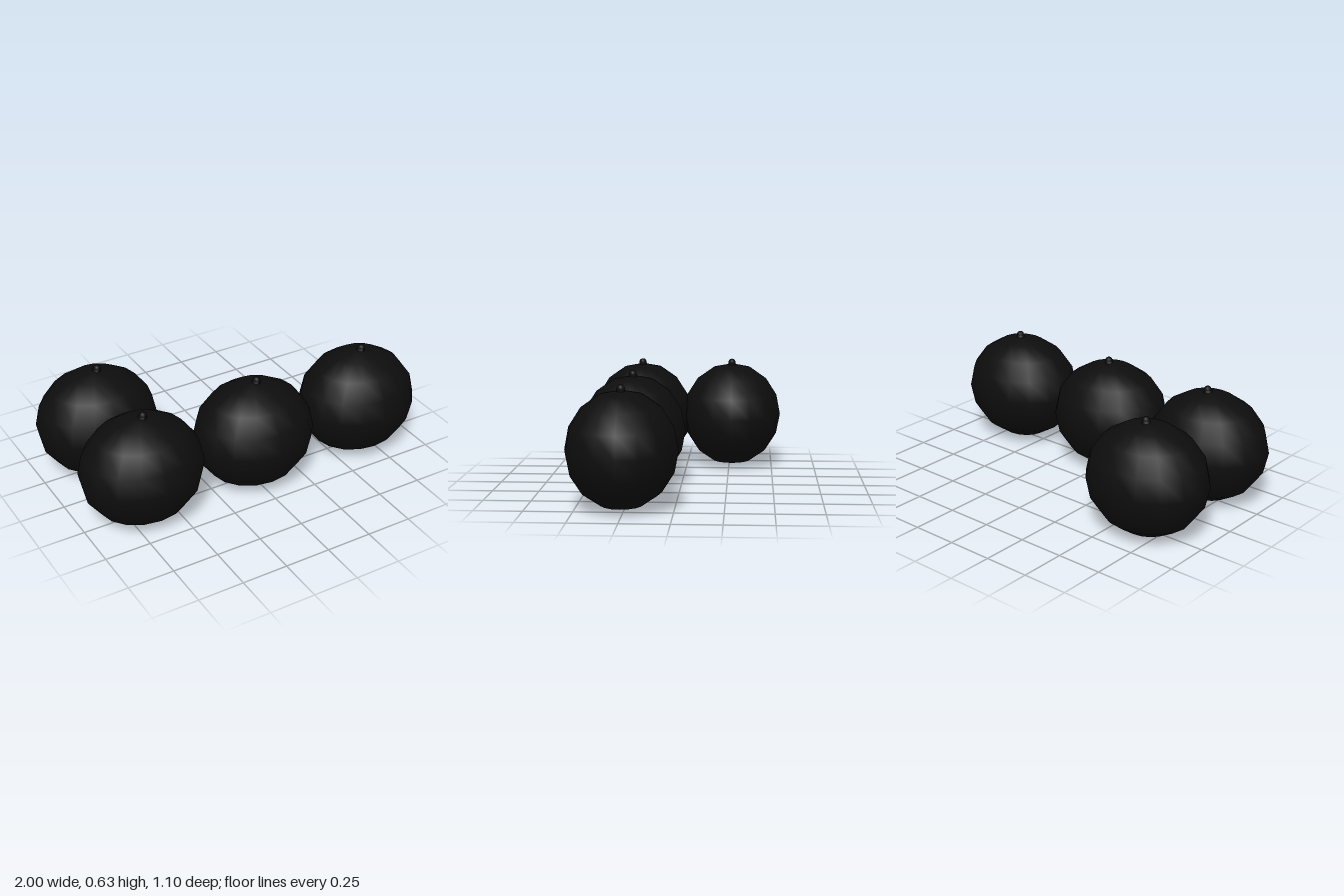
import * as THREE from 'three';

export function createModel() {
  const group = new THREE.Group();
  const black = new THREE.MeshStandardMaterial({ color: 0x0d0d0d });
  black.name = 'soft black';

  // Squashed low-poly ball standing on y = 0
  const bodyGeo = new THREE.SphereGeometry(1, 16, 8).scale(0.335, 0.3, 0.286);

  // Short tapered stem, sheared towards +x, with a round tip
  const stemGeo = new THREE.CylinderGeometry(0.02, 0.031, 0.04, 12, 1, true);
  stemGeo.applyMatrix4(new THREE.Matrix4().makeShear(0, 0, 0.3, 0, 0, 0));
  const pos = stemGeo.attributes.position;
  for (let i = 0; i < pos.count; i++) {
    const y = pos.getY(i);
    const angle = Math.atan2(pos.getX(i), pos.getZ(i));
    const r = y > 0 ? 0.02 : 0.031;
    pos.setX(i, r * Math.sin(angle) + (y > 0 ? 0.018 : 0.006));
    pos.setZ(i, r * Math.cos(angle));
  }
  stemGeo.computeVertexNormals();
  const tipGeo = new THREE.SphereGeometry(0.021, 12, 8);

  function addBerry(x, z) {
    const berry = new THREE.Group();
    berry.name = 'berry';
    const add = (geo, name, px, py) => {
      const mesh = new THREE.Mesh(geo, black);
      mesh.name = name;
      mesh.position.set(px, py, 0);
      berry.add(mesh);
    };
    add(bodyGeo, 'body', 0, 0.3);
    add(stemGeo, 'stem', 0, 0.59);
    add(tipGeo, 'stemTip', 0.018, 0.608);
    berry.position.set(x, 0, z);
    group.add(berry);
  }

  // Row of three in front, one behind the right-hand end
  for (const x of [-0.665, 0, 0.665]) addBerry(x, 0.264);
  addBerry(-0.665, -0.264);

  return group;
}
